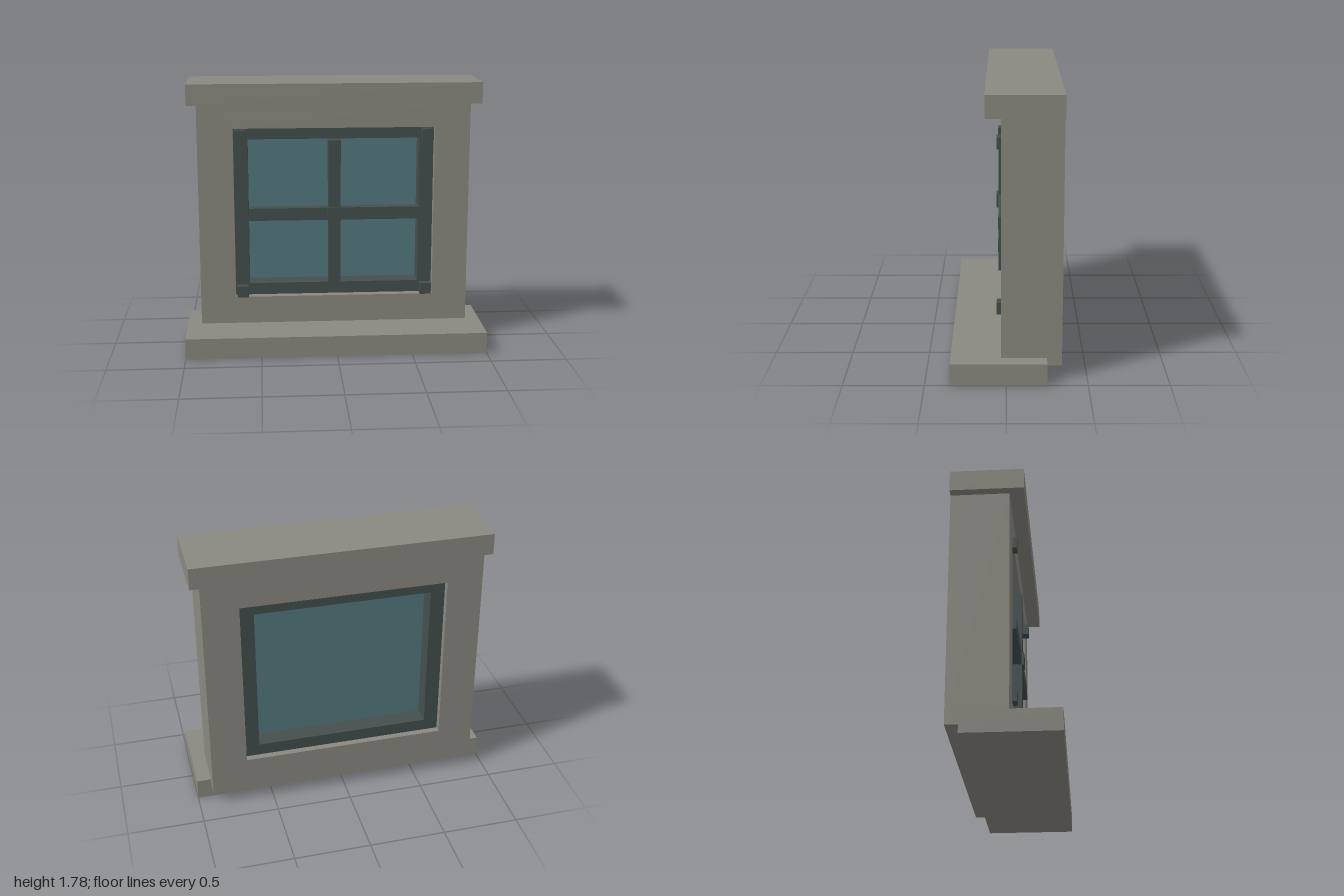
import * as THREE from 'three';

const stone = new THREE.MeshStandardMaterial({ color: 0x8b8a81 });
stone.name = 'stone';
const frameGrey = new THREE.MeshStandardMaterial({ color: 0x454e4e });
frameGrey.name = 'frameGrey';
const glassBlue = new THREE.MeshStandardMaterial({ color: 0x557a80 });
glassBlue.name = 'glassBlue';

// box from its minimum and maximum on each axis
function box(name, material, [x0, x1], [y0, y1], [z0, z1]) {
  const mesh = new THREE.Mesh(new THREE.BoxGeometry(x1 - x0, y1 - y0, z1 - z0), material);
  mesh.position.set((x0 + x1) / 2, (y0 + y1) / 2, (z0 + z1) / 2);
  mesh.name = name;
  return mesh;
}

// rectangular slab with a rectangular opening, symmetric about x = 0
function ring(name, material, outer, inner, [z0, z1]) {
  const rect = (path, [w, y0, y1]) =>
    path.moveTo(-w, y0).lineTo(w, y0).lineTo(w, y1).lineTo(-w, y1).closePath();
  const shape = new THREE.Shape();
  rect(shape, outer);
  const hole = new THREE.Path();
  rect(hole, inner);
  shape.holes.push(hole);
  const geometry = new THREE.ExtrudeGeometry(shape, { depth: z1 - z0, bevelEnabled: false });
  const mesh = new THREE.Mesh(geometry, material);
  mesh.position.z = z0;
  mesh.name = name;
  return mesh;
}

export function createModel() {
  const model = new THREE.Group();
  model.name = 'window';

  // stone surround
  model.add(
    ring('wall', stone, [0.906, 0.09, 1.645], [0.67, 0.325, 1.48], [-0.343, 0.032]),
    box('sill', stone, [-1, 1], [0, 0.14], [-0.25, 0.345]),
    box('lintel', stone, [-0.965, 0.965], [1.645, 1.785], [-0.343, 0.125]),
  );

  // recessed frame and pane
  model.add(
    ring('frame', frameGrey, [0.67, 0.325, 1.48], [0.575, 0.405, 1.4], [-0.3, -0.022]),
    box('glass', glassBlue, [-0.575, 0.575], [0.405, 1.4], [-0.18, -0.15]),
  );

  // crossing bars with a centre block
  model.add(
    box('verticalBar', frameGrey, [-0.041, 0.041], [0.405, 1.4], [-0.025, 0.052]),
    box('horizontalBar', frameGrey, [-0.573, 0.573], [0.86, 0.944], [-0.015, 0.05]),
    box('centreBlock', frameGrey, [-0.046, 0.046], [0.855, 0.949], [0.02, 0.065]),
  );

  // corner blocks
  for (const x of [-0.622, 0.622]) {
    for (const y of [0.368, 1.434]) {
      model.add(box('cornerBlock', frameGrey,
        [x - 0.038, x + 0.038], [y - 0.038, y + 0.038], [0.012, 0.06]));
    }
  }
  return model;
}
